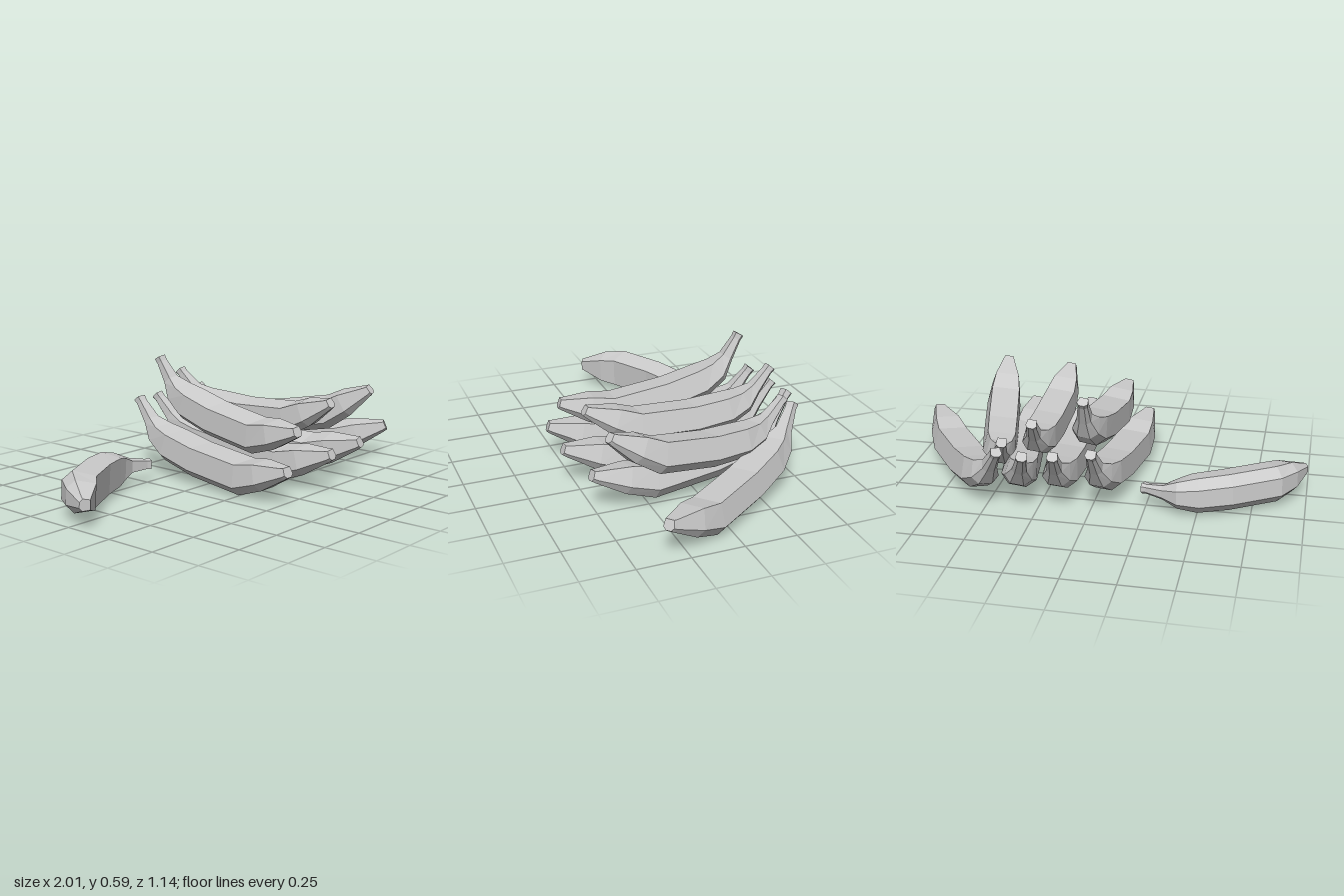
import * as THREE from 'three';

// Hexagonal cross-section: wide flat top, steep flanks, narrow belly
const SECTION = [[-0.045, -0.088], [0.045, -0.088], [0.09, -0.042], [0.073, 0.069], [-0.073, 0.069], [-0.09, -0.042]];

// Rings from stem to tip: [fraction along chord, sag below chord, section scale]
const RINGS = [
  [0, 0, 0.3], [0.02, 0.018, 0.27], [0.1, 0.087, 0.4], [0.17, 0.13, 0.74], [0.27, 0.152, 0.96],
  [0.455, 0.155, 1], [0.75, 0.124, 1], [0.86, 0.07, 0.84], [0.985, 0.01, 0.37], [1, 0, 0.31],
];

// Each fruit: stem end, tip end, direction of the concave side, thickness, curvature
const UP = [0, 1, 0];
const FRUITS = [
  ['lowerBanana1', [-0.035, 0.365, -0.505], [-0.14, 0.17, 0.535], [-0.06, 1, 0], 1, 1],
  ['lowerBanana2', [0.135, 0.355, -0.54], [0.18, 0.195, 0.555], [-0.1, 1, 0], 1, 1],
  ['lowerBanana3', [0.275, 0.35, -0.555], [0.48, 0.195, 0.515], [-0.2, 1, 0], 1, 1],
  ['lowerBanana4', [0.405, 0.345, -0.52], [0.98, 0.175, 0.345], [-0.12, 1, 0], 1, 1],
  ['upperBanana1', [0.02, 0.58, -0.41], [-0.03, 0.335, 0.505], [-0.12, 1, 0], 0.97, 1],
  ['upperBanana2', [0.245, 0.48, -0.475], [0.275, 0.42, 0.475], [-0.12, 1, 0], 0.95, 1],
  ['upperBanana3', [0.39, 0.375, -0.475], [0.62, 0.437, 0.475], [-0.15, 1, 0], 0.95, 1],
  ['looseBanana', [-0.235, 0.095, -0.245], [-0.975, 0.115, 0.085], [0.41, -0.05, 0.91], 1, 0.87],
];

function bananaGeometry(stem, tip, up, thickness, curvature) {
  const start = new THREE.Vector3(...stem);
  const chord = new THREE.Vector3(...tip).sub(start);
  const axis = chord.clone().normalize();
  const side = new THREE.Vector3(...up).cross(axis).normalize();
  const rise = axis.clone().cross(side);
  const centres = RINGS.map(([t, sag]) => start.clone().addScaledVector(chord, t).addScaledVector(rise, -sag * curvature));

  // Rings stand square to the curved centre line
  const positions = [];
  const n = SECTION.length;
  const last = RINGS.length - 1;
  centres.forEach((c, i) => {
    const tangent = centres[Math.min(i + 1, last)].clone().sub(centres[Math.max(i - 1, 0)]).normalize();
    const normal = tangent.cross(side).normalize();
    const s = RINGS[i][2] * thickness;
    for (const [x, y] of SECTION) {
      const p = c.clone().addScaledVector(side, x * s).addScaledVector(normal, y * s);
      positions.push(p.x, p.y, p.z);
    }
  });

  // Skin between rings, then the two end caps
  const index = [];
  for (let i = 0; i < last; i++) {
    for (let j = 0; j < n; j++) {
      const a = i * n + j, b = i * n + (j + 1) % n;
      index.push(a, b, a + n, b, b + n, a + n);
    }
  }
  for (let j = 1; j < n - 1; j++) {
    index.push(0, j + 1, j);
    index.push(last * n, last * n + j, last * n + j + 1);
  }
  const geometry = new THREE.BufferGeometry();
  geometry.setAttribute('position', new THREE.Float32BufferAttribute(positions, 3));
  geometry.setIndex(index);
  geometry.computeVertexNormals();
  return geometry;
}

export function createModel() {
  const model = new THREE.Group();
  model.name = 'bananas';
  const bunch = new THREE.Group();
  bunch.name = 'bunch';
  model.add(bunch);
  const material = new THREE.MeshStandardMaterial({ color: 0xcccccc, flatShading: true });

  for (const [name, ...shape] of FRUITS) {
    const mesh = new THREE.Mesh(bananaGeometry(...shape), material);
    mesh.name = name;
    (name === 'looseBanana' ? model : bunch).add(mesh);
  }
  return model;
}
